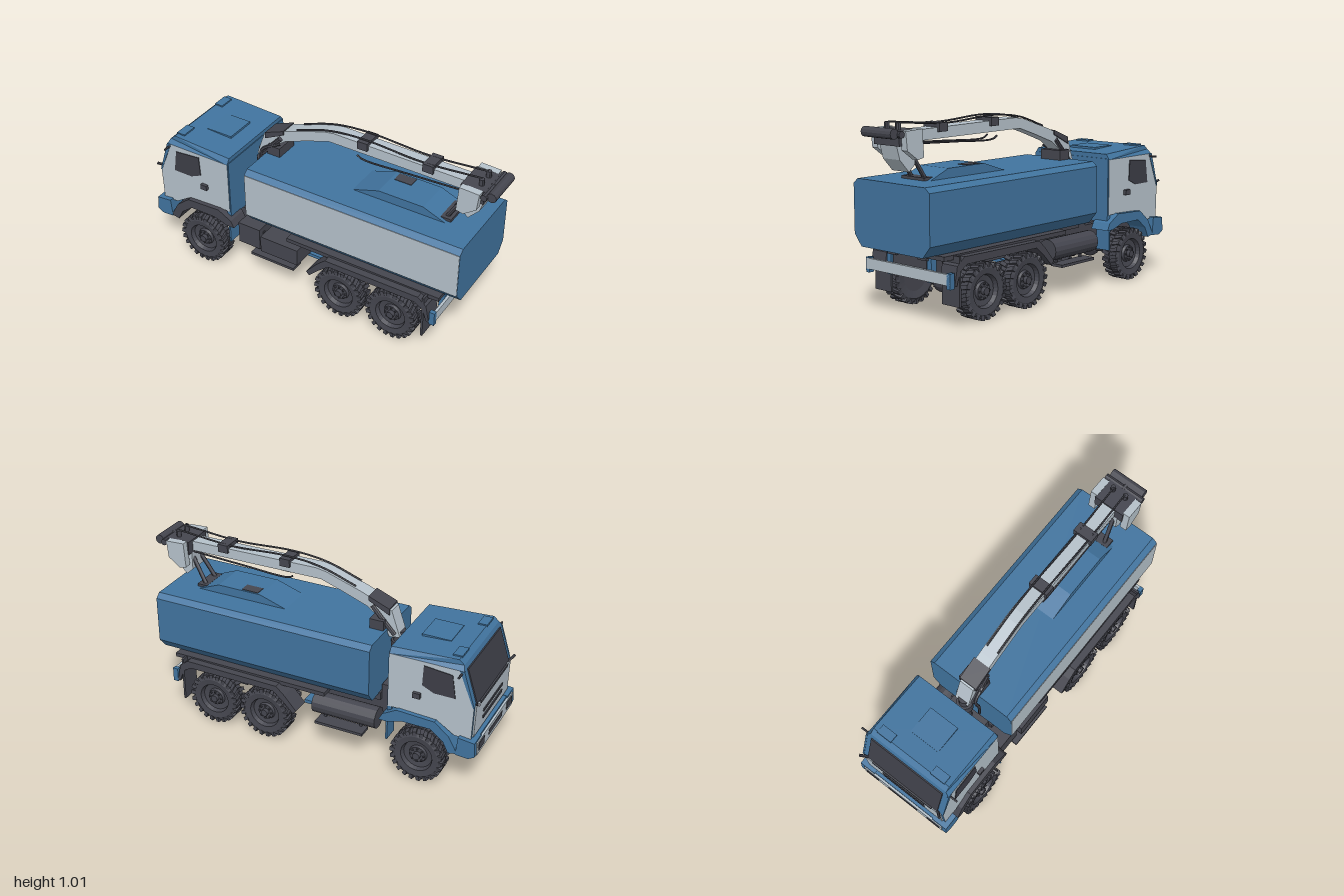
import * as THREE from 'three';
import { mergeGeometries } from 'three/addons/utils/BufferGeometryUtils.js';

const mat = (name, color) => Object.assign(new THREE.MeshStandardMaterial({ color }), { name, flatShading: true });

export function createModel() {
  const root = new THREE.Group();
  const blue = mat('blue paint', 0x41749f), light = mat('pale grey paint', 0xb6c2cb);
  const dark = mat('dark rubber and steel', 0x45464f), glass = mat('dark glass', 0x3d3e47);

  const add = (name, geo, m, parent = root) => {
    const mesh = new THREE.Mesh(geo, m);
    mesh.name = name;
    parent.add(mesh);
    return mesh;
  };
  const box = (name, m, x0, x1, y0, y1, z0, z1) =>
    add(name, new THREE.BoxGeometry(x1 - x0, y1 - y0, z1 - z0)
      .translate((x0 + x1) / 2, (y0 + y1) / 2, (z0 + z1) / 2), m);
  // side profile in x, y pulled from z0 to z1
  const slab = (name, m, pts, z0, z1) => {
    const shape = new THREE.Shape(pts.map(p => new THREE.Vector2(...p)));
    return add(name, new THREE.ExtrudeGeometry(shape, { depth: z1 - z0, bevelEnabled: false }).translate(0, 0, z0), m);
  };
  const rod = (name, m, a, b, r, sides = 10) => {
    const p = new THREE.Vector3(...a), q = new THREE.Vector3(...b), d = q.clone().sub(p);
    const mesh = add(name, new THREE.CylinderGeometry(r, r, d.length(), sides), m);
    mesh.position.copy(p.add(q).multiplyScalar(0.5));
    mesh.quaternion.setFromUnitVectors(new THREE.Vector3(0, 1, 0), d.normalize());
    return mesh;
  };
  const hose = (name, pts, r) => add(name, new THREE.TubeGeometry(
    new THREE.CatmullRomCurve3(pts.map(p => new THREE.Vector3(...p))), 24, r, 6), dark);
  const sides = [1, -1];
  const both = (s, a, b) => s > 0 ? [a, b] : [-b, -a];

  // Wheels: lathed tyre and dished hub, with two rows of tread lugs
  const outline = [[0.02, 0.028], [0.045, 0.03], [0.05, 0.015], [0.08, 0.02], [0.088, 0.044],
    [0.12, 0.048], [0.138, 0.04], [0.141, 0], [0.138, -0.04], [0.12, -0.048], [0.08, -0.04], [0.02, -0.04]];
  const parts = [new THREE.LatheGeometry([[0.0001, 0.05], [0.02, 0.05], ...outline, [0.0001, -0.04]]
    .reverse().map(p => new THREE.Vector2(...p)), 28).rotateX(Math.PI / 2)];
  for (let i = 0; i < 44; i++) {
    const row = i % 2 ? 1 : -1;
    parts.push(new THREE.BoxGeometry(0.021, 0.026, 0.046).rotateY(row * 0.25)
      .translate(0, 0.136, row * 0.026).rotateZ(i * Math.PI / 22));
  }
  for (let i = 0; i < 8; i++)
    parts.push(new THREE.CylinderGeometry(0.005, 0.005, 0.012, 6).rotateX(Math.PI / 2)
      .translate(0.036, 0, 0.033).rotateZ(i * Math.PI / 4));
  const wheelGeo = mergeGeometries(parts);
  for (const x of [-0.68, 0.22, 0.54]) {
    for (const s of sides) {
      const w = add('wheel', wheelGeo, dark);
      w.position.set(x, 0.157, s * 0.253);
      if (s < 0) w.rotation.y = Math.PI;
    }
    rod('axle', dark, [x, 0.165, -0.22], [x, 0.165, 0.22], 0.024);
    const diff = add('differential', new THREE.SphereGeometry(0.06, 12, 8), dark);
    diff.position.set(x, 0.165, 0);
    for (const s of sides) box('springs', dark, x - 0.13, x + 0.13, 0.2, 0.225, ...both(s, 0.11, 0.15));
  }

  // Chassis and running gear
  for (const s of sides) {
    box('chassisRail', dark, -0.92, 0.78, 0.25, 0.33, ...both(s, 0.09, 0.12));
    box('tankSubframe', dark, -0.4, 0.8, 0.33, 0.375, ...both(s, 0.08, 0.14));
    box('tankLedge', dark, -0.13, 0.8, 0.345, 0.368, ...both(s, 0.14, 0.265));
  }
  for (const x of [-0.9, -0.45, -0.05, 0.38, 0.74]) box('crossMember', dark, x, x + 0.04, 0.25, 0.34, -0.1, 0.1);
  box('engine', dark, -0.86, -0.5, 0.22, 0.4, -0.09, 0.09);
  box('gearbox', dark, -0.5, -0.2, 0.19, 0.3, -0.06, 0.06);
  rod('driveShaft', dark, [-0.62, 0.18, 0], [0.54, 0.18, 0], 0.018);
  box('fuelTank', dark, -0.3, -0.06, 0.21, 0.31, 0.12, 0.27);
  box('batteryBox', dark, -0.46, -0.32, 0.2, 0.33, 0.12, 0.25);
  box('sideStep', dark, -0.36, -0.08, 0.17, 0.185, 0.2, 0.28);
  box('bluePipe', blue, -0.3, 0.06, 0.175, 0.195, -0.13, 0.13);
  rod('airTank', dark, [-0.42, 0.26, -0.2], [-0.05, 0.26, -0.2], 0.06, 16);
  box('sideStep', dark, -0.36, -0.08, 0.17, 0.185, -0.28, -0.2);
  for (const s of sides) for (const x of [-0.33, -0.12])
    box('stepBracket', dark, x, x + 0.015, 0.17, 0.3, ...both(s, 0.2, 0.215));
  box('valveBlock', dark, -0.36, -0.3, 0.14, 0.25, -0.05, 0.15);

  // Front and rear mudguards, flaps and bumpers
  for (const s of sides) {
    slab('frontMudguard', s > 0 ? dark : blue, [[-0.9, 0.24], [-0.85, 0.33], [-0.77, 0.395], [-0.56, 0.405], [-0.48, 0.36],
      [-0.46, 0.32], [-0.51, 0.32], [-0.59, 0.345], [-0.75, 0.345], [-0.82, 0.29], [-0.85, 0.23]], ...both(s, 0.18, 0.295));
    box('frontMudflap', blue, -0.505, -0.495, 0.2, 0.36, ...both(s, 0.19, 0.28));
    slab('rearMudguard', dark, [[0.02, 0.23], [0.09, 0.31], [0.14, 0.355], [0.7, 0.36], [0.75, 0.32], [0.77, 0.22],
      [0.755, 0.22], [0.73, 0.29], [0.68, 0.32], [0.16, 0.32], [0.1, 0.27], [0.04, 0.21]], ...both(s, 0.2, 0.305));
    box('rearMudflap', dark, 0.725, 0.737, 0.11, 0.365, ...both(s, 0.185, 0.305));
    box('bumperBracket', blue, 0.75, 0.785, 0.22, 0.36, ...both(s, 0.13, 0.16));
    box('rearLamp', blue, 0.77, 0.8, 0.21, 0.29, ...both(s, 0.28, 0.304));
    slab('bumperEnd', blue, [[-0.995, 0.25], [-0.99, 0.33], [-0.9, 0.34], [-0.89, 0.235], [-0.96, 0.23]], ...both(s, 0.2, 0.297));
    box('headlamp', dark, -1, -0.99, 0.265, 0.31, ...both(s, 0.17, 0.25));
  }
  box('rearBumper', light, 0.785, 0.8, 0.228, 0.285, -0.3, 0.3);
  box('frontBumper', blue, -0.985, -0.91, 0.235, 0.33, -0.2, 0.2);
  box('bumperFace', light, -0.997, -0.985, 0.245, 0.32, -0.27, 0.27);
  box('bumperSlot', dark, -0.999, -0.996, 0.27, 0.3, -0.1, 0.1);

  // Cab: grey sides, blue shell and a tapered roof
  slab('cabShell', [light, blue], [[-0.96, 0.33], [-0.965, 0.52], [-0.903, 0.715], [-0.5, 0.715], [-0.5, 0.4],
    [-0.56, 0.402], [-0.77, 0.395], [-0.87, 0.33]], -0.27, 0.27);
  const roof = slab('cabRoof', blue, [[-0.903, 0.715], [-0.893, 0.74], [-0.865, 0.764], [-0.5, 0.745], [-0.5, 0.715]], -0.27, 0.27);
  const rp = roof.geometry.attributes.position;
  for (let i = 0; i < rp.count; i++) if (rp.getY(i) > 0.72) rp.setZ(i, rp.getZ(i) * 0.92);
  roof.geometry.computeVertexNormals();
  slab('cabFront', light, [[-0.96, 0.34], [-0.968, 0.34], [-0.973, 0.52], [-0.965, 0.525]], -0.255, 0.255);
  slab('windscreen', glass, [[-0.962, 0.53], [-0.969, 0.53], [-0.91, 0.715], [-0.903, 0.715]], -0.235, 0.235);
  for (const y of [0.39, 0.43]) box('grilleSlot', dark, -0.976, -0.97, y, y + 0.015, -0.14, 0.14);
  box('wiperBar', dark, -0.978, -0.965, 0.515, 0.53, -0.2, 0.2);
  box('cabBackPanel', blue, -0.52, -0.495, 0.36, 0.72, -0.265, 0.265);
  for (const s of sides) {
    slab('sideWindow', glass, [[-0.865, 0.55], [-0.845, 0.68], [-0.69, 0.695], [-0.685, 0.58], [-0.75, 0.55]], ...both(s, 0.268, 0.274));
    slab('windscreenPillar', blue, [[-0.96, 0.52], [-0.967, 0.52], [-0.905, 0.715], [-0.88, 0.715]], ...both(s, 0.264, 0.273));
    box('doorHandle', dark, -0.68, -0.64, 0.5, 0.53, ...both(s, 0.27, 0.288));
    rod('mirrorArm', dark, [-0.89, 0.7, s * 0.25], [-0.89, 0.7, s * 0.315], 0.006, 6);
    rod('guideMirror', dark, [-0.96, 0.52, s * 0.23], [-0.99, 0.55, s * 0.27], 0.008, 6);
    box('roofMarker', blue, -0.87, -0.82, 0.755, 0.77, ...both(s, 0.13, 0.22));
  }
  box('roofHatch', blue, -0.76, -0.6, 0.745, 0.762, -0.09, 0.09);

  // Body: chamfered section along x, one side grey
  const section = [[0.24, 0.715], [-0.24, 0.715], [-0.27, 0.69], [-0.27, 0.43], [-0.22, 0.37], [0.22, 0.37], [0.27, 0.43], [0.27, 0.69]];
  const tankShape = new THREE.Shape(section.map(([z, y]) => new THREE.Vector2(-z, y)).reverse());
  add('tankBody', new THREE.ExtrudeGeometry(tankShape, { depth: 1.29, bevelEnabled: false })
    .rotateY(Math.PI / 2).translate(-0.39, 0, 0), blue);
  box('tankSidePanel', light, -0.388, 0.898, 0.43, 0.69, 0.267, 0.273);
  slab('tankTopHood', blue, [[0.18, 0.713], [0.34, 0.765], [0.6, 0.765], [0.73, 0.713]], -0.1, 0.1);
  box('hoodOpening', dark, 0.36, 0.46, 0.762, 0.768, -0.09, -0.03);

  // Crane: column, cranked boom, collars, hoses and folded head
  box('craneBase', dark, -0.48, -0.4, 0.3, 0.42, -0.12, 0.12);
  rod('craneColumn', dark, [-0.44, 0.38, 0], [-0.44, 0.7, 0], 0.032, 14);
  rod('craneSlewRing', dark, [-0.44, 0.57, 0], [-0.44, 0.64, 0], 0.045, 14);
  box('controlValve', dark, -0.38, -0.3, 0.71, 0.77, -0.08, 0.06);
  slab('craneBoom', light, [[-0.46, 0.68], [-0.4, 0.67], [-0.36, 0.755], [-0.27, 0.82], [-0.12, 0.875], [0, 0.915],
    [0.8, 0.91], [0.8, 0.965], [0.03, 0.975], [-0.03, 0.965], [-0.24, 0.895], [-0.41, 0.825]], -0.046, 0.04);
  slab('boomCollar', dark, [[-0.4, 0.8], [-0.28, 0.86], [-0.28, 0.885], [-0.4, 0.837]], -0.055, 0.05);
  for (const x of [0.18, 0.56]) box('boomCollar', dark, x, x + 0.06, 0.945, 0.99, -0.06, 0.055);
  for (const s of sides) {
    rod('liftRam', dark, [-0.43, 0.69, s * 0.045], [-0.3, 0.83, s * 0.045], 0.014);
    rod('restStrut', dark, [0.71, 0.715, s * 0.05], [0.82, 0.9, s * 0.03], 0.012);
    slab('headPlate', light, [[0.79, 0.84], [0.83, 0.83], [0.9, 0.88], [0.91, 0.975], [0.8, 0.98]], ...both(s, 0.085, 0.125));
    rod('headPin', dark, [0.88, 0.95, s * 0.04], [0.88, 1.01, s * 0.04], 0.014);
  }
  box('restFoot', dark, 0.69, 0.75, 0.713, 0.73, -0.08, 0.08);
  slab('craneHead', light, [[0.79, 0.8], [0.83, 0.765], [0.89, 0.83], [0.91, 0.9], [0.79, 0.9]], -0.06, 0.06);
  box('headCore', dark, 0.79, 0.92, 0.9, 0.975, -0.09, 0.09);
  rod('headCrossPin', dark, [0.93, 0.96, -0.12], [0.93, 0.96, 0.12], 0.018);
  rod('endRotator', dark, [0.965, 0.965, -0.105], [0.965, 0.965, 0.105], 0.026, 12);
  rod('endLink', dark, [0.9, 0.95, 0], [0.97, 0.965, 0], 0.022);
  for (const z of [-0.035, 0.035]) {
    hose('upperHose', [[-0.2, 0.915, z], [0.0, 0.98, z], [0.2, 1, z], [0.55, 0.985, z], [0.88, 1.01, z]], 0.005);
    hose('lowerHose', [[0.17, 0.89, z], [0.2, 0.875, z], [0.5, 0.885, z], [0.8, 0.9, z]], 0.005);
  }
  hose('columnHose', [[-0.4, 0.45, 0.06], [-0.41, 0.6, 0.07], [-0.42, 0.72, 0.06], [-0.3, 0.8, 0.05]], 0.009);
  return root;
}
